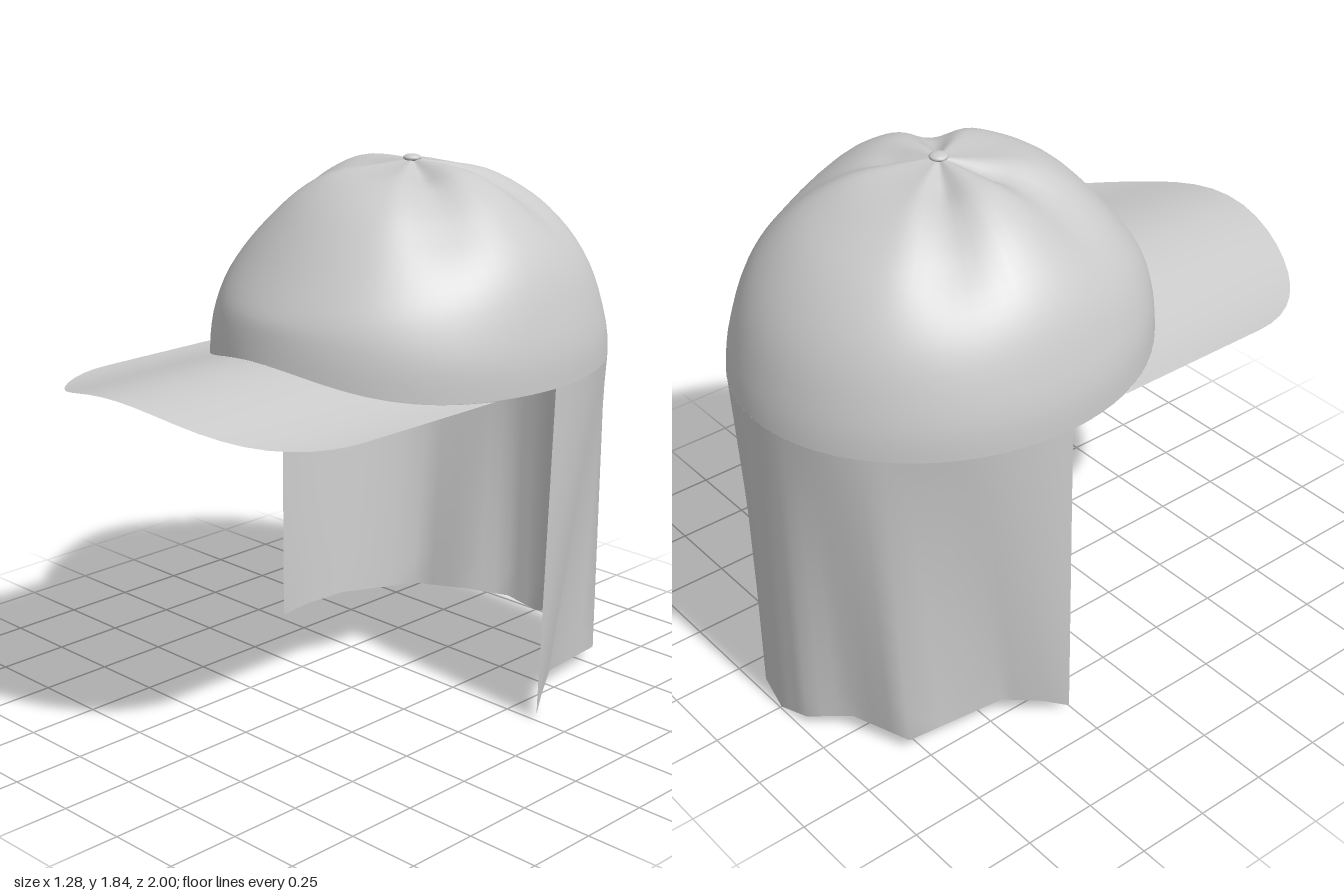
import * as THREE from 'three';
import { ParametricGeometry } from 'three/addons/geometries/ParametricGeometry.js';
import { mergeVertices } from 'three/addons/utils/BufferGeometryUtils.js';

const RX = 0.64, RZ = 0.715, CZ = -0.285; // crown ellipse
const BASE = 1.16, TOP = 1.825;

// Surface from a rule, welded so that normals run smoothly across it
function surface(name, rule, slices, stacks, material) {
  let g = new ParametricGeometry(rule, slices, stacks);
  g.deleteAttribute('uv');
  g.deleteAttribute('normal');
  g = mergeVertices(g, 1e-5);
  g.computeVertexNormals();
  const mesh = new THREE.Mesh(g, material);
  mesh.name = name;
  return mesh;
}

// Arch of the brim across its width
function archY(x) {
  const a = Math.min(Math.abs(x) / 0.6, 1);
  return BASE + 0.0475 * (1 + Math.cos(Math.PI * a));
}

const profile = (pts) => new THREE.SplineCurve(pts.map(([r, y]) => new THREE.Vector2(r, y)));

export function createModel() {
  const model = new THREE.Group();
  model.name = 'capWithNeckFlap';
  const fabric = new THREE.MeshStandardMaterial({ color: 0xcccccc, side: THREE.DoubleSide });

  // Crown: front, side and back profiles (relative radius, height) blended around
  const front = profile([[1, 1.26], [0.97, 1.36], [0.93, 1.42], [0.83, 1.515], [0.71, 1.62],
    [0.57, 1.72], [0.4, 1.787], [0.19, 1.805], [0, TOP]]);
  const side = profile([[1, BASE], [0.99, 1.28], [0.92, 1.45], [0.83, 1.57], [0.7, 1.67],
    [0.55, 1.75], [0.375, 1.807], [0.19, 1.823], [0, TOP]]);
  const back = profile([[1, BASE], [0.98, 1.25], [0.92, 1.395], [0.83, 1.515], [0.7, 1.625],
    [0.55, 1.705], [0.375, 1.77], [0.19, 1.802], [0, TOP]]);
  const crownRule = (u, v, target) => {
    const th = (u * 2 - 1) * Math.PI; // 0 = front
    const c = Math.cos(th), s = Math.sin(th);
    const p = (c > 0 ? front : back).getPoint(v).lerp(side.getPoint(v), s * s);
    // Seam valleys between panels at 60 and 120 degrees to each side
    const a = Math.abs(th);
    const seam = a > Math.PI / 6 && a < Math.PI * 5 / 6 ? Math.abs(Math.cos(3 * th)) ** 3 : 0;
    const depth = 0.042 * seam * Math.min(1, p.x / 0.25) * Math.min(1, Math.max(0, (1 - p.x) / 0.35));
    const x = RX * p.x * s;
    let y = p.y - depth;
    if (v === 0) y = c > 0 ? archY(x) + 0.008 * c : BASE;
    target.set(x, y, CZ + RZ * p.x * c);
  };
  model.add(surface('crown', crownRule, 72, 24, fabric));

  // Brim: arched sheet from the crown's edge to a rounded tip
  const brimRule = (u, v, target) => {
    const t = (u - 0.5) * Math.PI;
    const x = 0.6 * Math.sin(t);
    const inner = CZ + RZ * Math.sqrt(1 - (x / RX) ** 2);
    const outer = 0.555 + 0.44 * Math.cos(t);
    const z = inner + (outer - inner) * v;
    target.set(x, archY(x) + 0.008 * (1 - v) * Math.cos(t), z);
  };
  model.add(surface('brim', brimRule, 24, 6, fabric));

  // Neck flap: hangs from the back half of the rim, with a wavy hem
  // each row: angle on the rim in degrees, then x, y, z of the hem
  const hem = [[90, 0.62, 0.015, -0.26], [105, 0.575, 0.05, -0.34], [120, 0.51, 0.08, -0.46],
    [140, 0.44, 0.045, -0.79], [158, 0.24, 0.055, -0.87], [169, 0.12, 0.03, -0.975], [180, 0, 0, -0.995]];
  const flapRule = (u, v, target) => {
    const sign = u < 0.5 ? -1 : 1;
    const k = (1 - Math.abs(u * 2 - 1)) * (hem.length - 1);
    const i = Math.min(Math.floor(k + 1e-6), hem.length - 2);
    const [deg, x, y, z] = hem[i].map((h, j) => h + (hem[i + 1][j] - h) * (k - i));
    const a = THREE.MathUtils.degToRad(deg);
    target.set(
      sign * THREE.MathUtils.lerp(RX * Math.sin(a), x, v),
      THREE.MathUtils.lerp(BASE, y, v),
      THREE.MathUtils.lerp(CZ + RZ * Math.cos(a), z, v));
  };
  model.add(surface('neckFlap', flapRule, 36, 10, fabric));

  // Button on top
  const button = new THREE.Mesh(new THREE.SphereGeometry(0.031, 16, 10), fabric);
  button.name = 'topButton';
  button.scale.y = 0.4;
  button.position.set(0, 1.828, CZ);
  model.add(button);

  return model;
}
